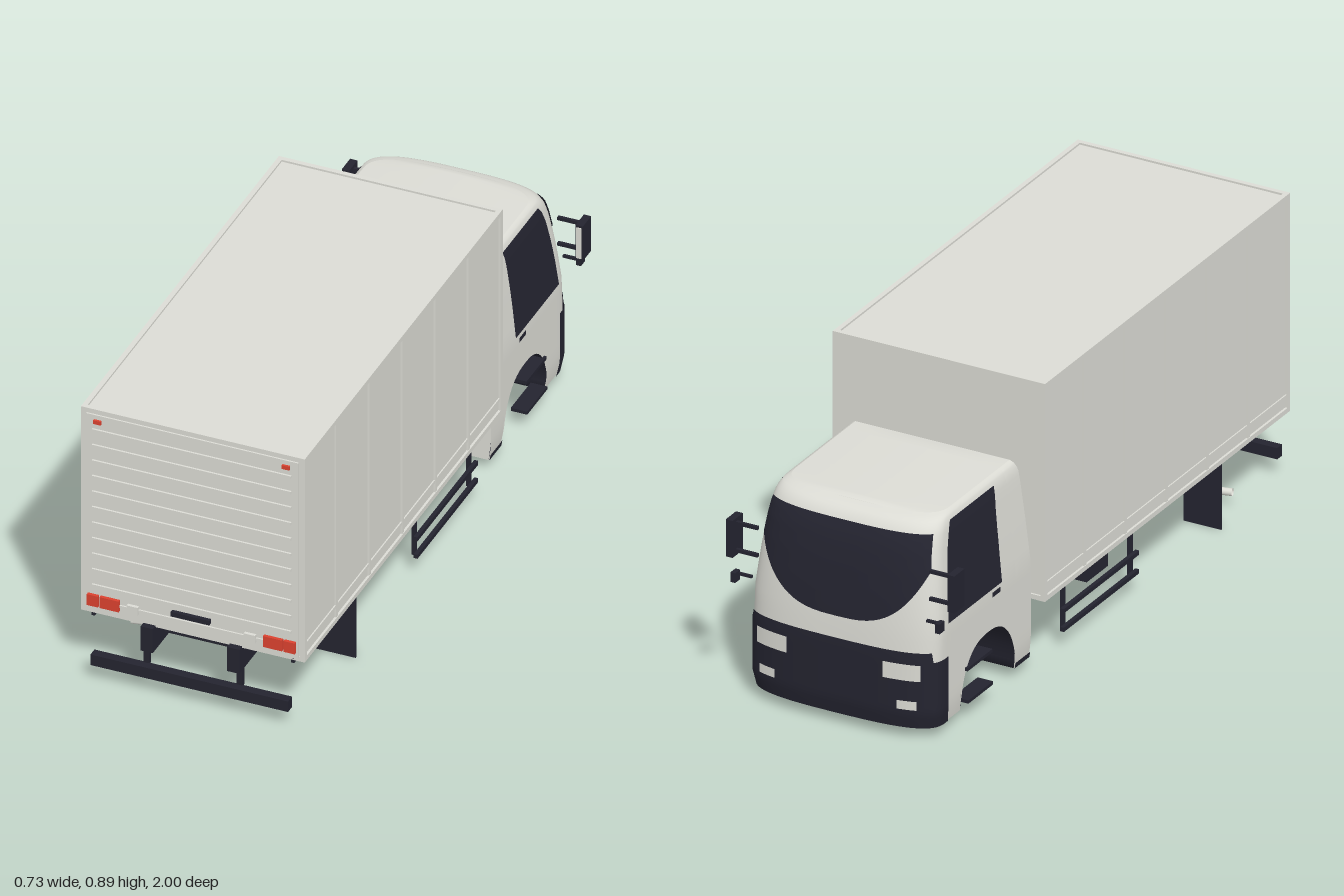
import * as THREE from 'three';

const mat = (name, color) => new THREE.MeshStandardMaterial({ name, color, side: THREE.DoubleSide });
const white = mat('offWhite', 0xdcdcd5);
const dark = mat('darkTrim', 0x242430);
const red = mat('redLens', 0xdc4230);

// piecewise-linear lookup through [key, value] pairs
const lookup = (pts) => (k) => {
  for (let i = 1; i < pts.length; i++) {
    const [a, va] = pts[i - 1], [b, vb] = pts[i];
    if (k <= b) return va + (vb - va) * Math.max(0, (k - a) / (b - a));
  }
  return pts[pts.length - 1][1];
};

// surface from a rule fn(i, j) -> [x, y, z]
function grid(nu, nv, fn) {
  const pos = [], idx = [];
  for (let i = 0; i <= nu; i++) for (let j = 0; j <= nv; j++) pos.push(...fn(i, j));
  for (let i = 0; i < nu; i++) for (let j = 0; j < nv; j++) {
    const a = i * (nv + 1) + j, b = a + nv + 1;
    idx.push(a, b, b + 1, a, b + 1, a + 1);
  }
  const g = new THREE.BufferGeometry();
  g.setAttribute('position', new THREE.Float32BufferAttribute(pos, 3));
  g.setIndex(idx);
  g.computeVertexNormals();
  return g;
}

// cab plan: half width, front and back by height
const halfWidth = lookup([[0.03, 0.292], [0.08, 0.3], [0.34, 0.3], [0.46, 0.288], [0.59, 0.273], [0.62, 0.268], [0.638, 0.259], [0.645, 0.247]]);
const frontZ = lookup([[0.03, -0.985], [0.08, -0.995], [0.25, -0.995], [0.34, -0.988], [0.42, -0.979], [0.5, -0.966], [0.56, -0.952], [0.6, -0.937], [0.625, -0.92], [0.638, -0.9], [0.645, -0.875]]);
const backZ = lookup([[0.03, -0.42], [0.3, -0.42], [0.62, -0.436], [0.645, -0.446]]);
const archZ = -0.66, archHalf = 0.155, floorY = 0.033, topY = 0.645;

// u: 0..1 side, 1..2 corner to front centre, 2..4 mirrored; o pushes outward
function cabPoint(u, y, o = 0) {
  if (u > 2) { const [x, yy, z] = cabPoint(4 - u, y, o); return [-x, yy, z]; }
  const w = halfWidth(y) + o, f = frontZ(y) - o, b = backZ(y);
  if (u <= 1) return [w, y, b + (f + 0.1 - b) * u];
  const a = Math.min(1, u - 1) * Math.PI / 2;
  return [w * Math.pow(Math.max(0, Math.cos(a)), 2 / 3), y, f + 0.1 - 0.1 * Math.pow(Math.sin(a), 2 / 3)];
}
const sideU = (z, y = 0.2) => (z - backZ(y)) / (frontZ(y) + 0.1 - backZ(y));
function bottomAt(u) {
  const z = cabPoint(u, 0.2)[2], d = Math.abs(z - archZ) / archHalf;
  return d < 1 ? floorY + 0.182 * Math.sqrt(1 - Math.pow(d, 2.5)) : floorY;
}

export function createModel() {
  const model = new THREE.Group();
  const add = (name, geo, m, parent = model) => {
    const mesh = new THREE.Mesh(geo, m);
    mesh.name = name;
    parent.add(mesh);
    return mesh;
  };
  const group = (name) => { const g = new THREE.Group(); g.name = name; model.add(g); return g; };
  // box given by its extents
  const box = (name, m, x0, x1, y0, y1, z0, z1, parent) => {
    const mesh = add(name, new THREE.BoxGeometry(Math.abs(x1 - x0), y1 - y0, Math.abs(z1 - z0)), m, parent);
    mesh.position.set((x0 + x1) / 2, (y0 + y1) / 2, (z0 + z1) / 2);
    return mesh;
  };
  const pair = (name, m, x0, x1, ...rest) => [1, -1].forEach((s) => box(name, m, s * x0, s * x1, ...rest));

  // ---- cab shell
  const cab = group('cab');
  const half = [0, 0.05, 0.11];
  for (let i = 0; i <= 24; i++) half.push(sideU(archZ + archHalf * 1.0001 * Math.cos(Math.PI * i / 24)));
  half.push(0.9, 0.95);
  for (let i = 0; i <= 18; i++) half.push(1 + i / 18);
  const us = [...half, ...half.slice(0, -1).reverse().map((u) => 4 - u)];
  const upper = [0.24, 0.3, 0.34, 0.38, 0.42, 0.46, 0.5, 0.53, 0.56, 0.58, 0.6, 0.6125, 0.625, 0.632, 0.638, 0.642, topY];
  const low = 6, rows = low + upper.length - 1;
  add('cabShell', grid(us.length - 1, rows, (i, j) => {
    const b = bottomAt(us[i]);
    return cabPoint(us[i], j < low ? b + (0.24 - b) * j / low : upper[j - low]);
  }), white, cab);
  add('cabRoof', grid(half.length - 1, 10, (i, j) => {
    const [x, y, z] = cabPoint(half[i], topY), v = 1 - j / 5;
    return [x * v, y + 0.006 * (1 - v * v) * Math.min(1, half[i] * 8, (2 - half[i]) * 2), z];
  }), white, cab);
  add('cabFloor', grid(half.length - 1, 2, (i, j) => {
    const [x, y, z] = cabPoint(half[i], bottomAt(half[i]));
    return [x * (j - 1), y, z];
  }), dark, cab);
  const backRows = [floorY, 0.1, ...upper];
  add('cabBackWall', grid(2, backRows.length - 1, (i, j) => {
    const [x, y, z] = cabPoint(0, backRows[j]);
    return [x * (i - 1), y, z];
  }), white, cab);

  // ---- painted plates that follow the cab surface
  const patch = (name, m, u0, u1, y0, y1, o = 0.004, nu = 36, nv = 14) => {
    const at = (f, u) => (typeof f === 'function' ? f(u) : f);
    add(name, grid(nu, nv, (i, j) => {
      const u = u0 + (u1 - u0) * i / nu, lo = at(y0, u), hi = at(y1, u);
      return cabPoint(u, lo + (hi - lo) * j / nv, o);
    }), m, cab);
  };
  const mirrored = (name, m, u0, u1, ...rest) => {
    patch(name, m, u0, u1, ...rest);
    patch(name, m, 4 - u1, 4 - u0, ...rest);
  };
  const frontX = (x) => 1 + Math.acos(Math.pow(x / 0.3, 1.5)) / (Math.PI / 2);
  patch('windshield', dark, 1.28, 2.72, (u) => 0.335 + 0.13 * Math.pow(Math.abs(cabPoint(u, 0.4)[0]) / 0.25, 3), 0.608);
  patch('frontBumper', dark, 0.985, 3.015, floorY, (u) => (Math.abs(u - 2) < 0.75 ? 0.27 : 0.24), 0.004, 64);
  mirrored('doorWindow', dark, sideU(-0.585, 0.45), 0.995, 0.34, 0.625, 0.003, 8);
  mirrored('doorHandle', dark, sideU(-0.6, 0.325), sideU(-0.645, 0.325), 0.318, 0.333, 0.007, 2, 2);
  mirrored('rearSkirt', dark, 0, sideU(-0.504), floorY, 0.05, 0.003, 2, 2);
  mirrored('headlight', white, frontX(0.255), frontX(0.15), 0.185, 0.235, 0.008, 8, 2);
  mirrored('foglight', white, frontX(0.245), frontX(0.19), 0.095, 0.122, 0.008, 6, 2);

  // ---- mirrors and entry steps
  pair('mirrorHousing', dark, 0.344, 0.366, 0.42, 0.535, -0.968, -0.91, cab);
  pair('mirrorGlass', white, 0.347, 0.362, 0.427, 0.528, -0.91, -0.907, cab);
  for (const y of [0.43, 0.515]) pair('mirrorArm', dark, 0.275, 0.35, y, y + 0.01, -0.95, -0.94, cab);
  pair('frontMirror', dark, 0.32, 0.335, 0.36, 0.39, -0.996, -0.968, cab);
  pair('frontMirrorArm', dark, 0.28, 0.325, 0.375, 0.383, -0.975, -0.967, cab);
  pair('lowerStep', dark, 0.26, 0.31, 0.05, 0.06, -0.79, -0.65, cab);
  pair('upperStep', dark, 0.26, 0.308, 0.15, 0.16, -0.79, -0.65, cab);

  // ---- cargo box with raised edge frame
  const cargo = group('cargoBox');
  const z0 = -0.41, z1 = 0.975, y0 = 0.21, y1 = 0.887, t = 0.015;
  box('cargoBody', white, -0.333, 0.333, y0 + 0.004, y1 - 0.006, z0 + 0.006, z1 - 0.002, cargo);
  for (const y of [y0, y1 - t]) {
    pair('sideRail', white, 0.34 - t, 0.34, y, y + t, z0, z1, cargo);
    for (const z of [z0, z1 - t]) box('endRail', white, -0.34, 0.34, y, y + t, z, z + t, cargo);
  }
  for (const z of [z0, z1 - t]) pair('cornerPost', white, 0.34 - t, 0.34, y0, y1, z, z + t, cargo);
  for (let i = 1; i < 6; i++) {
    const z = z0 + (z1 - z0) * i / 6;
    pair('sideRib', white, 0.33, 0.338, y0, y1 - t, z - 0.006, z + 0.006, cargo);
  }
  pair('kickRail', white, 0.33, 0.337, 0.255, 0.265, z0, z1, cargo);

  // ---- rear door, slats and lamps
  const door = group('rearDoor');
  box('doorPanel', white, -0.322, 0.322, 0.222, 0.872, 0.965, 0.98, door);
  for (let i = 0; i < 11; i++) {
    const y = 0.306 + i * 0.0517;
    box('doorSlat', white, -0.302, 0.302, y - 0.004, y + 0.004, 0.978, 0.986, door);
  }
  box('lampBar', white, -0.22, 0.22, 0.252, 0.26, 0.978, 0.985, door);
  box('doorHandleBar', dark, -0.06, 0.057, 0.27, 0.285, 0.978, 0.992, door);
  pair('outerTailLamp', red, 0.282, 0.316, 0.24, 0.276, 0.978, 0.99, door);
  pair('innerTailLamp', red, 0.219, 0.277, 0.24, 0.276, 0.978, 0.99, door);
  pair('reverseLamp', white, 0.161, 0.195, 0.244, 0.27, 0.978, 0.99, door);
  pair('markerLamp', red, 0.275, 0.298, 0.846, 0.858, 0.978, 0.987, door);
  pair('doorStop', dark, 0.298, 0.308, 0.2, 0.222, 0.96, 0.975, door);

  // ---- chassis
  const chassis = group('chassis');
  pair('frameRail', dark, 0.113, 0.15, 0.135, 0.215, -0.42, 0.995, chassis);
  for (const z of [0.88, 0.5, 0.12, -0.26]) box('crossMember', dark, -0.12, 0.12, 0.155, 0.2, z - 0.03, z + 0.03, chassis);
  pair('bumperBracket', dark, 0.133, 0.15, 0.08, 0.2, 0.96, 0.976, chassis);
  box('rearBumper', dark, -0.3, 0.3, 0.05, 0.085, 0.972, 1.0, chassis);
  pair('mudFlap', dark, 0.212, 0.333, 0, 0.208, 0.597, 0.603, chassis);
  box('batteryBox', dark, -0.275, -0.15, 0.105, 0.205, -0.06, 0.06, chassis);

  // ---- side guards
  for (const y of [0.055, 0.113]) pair('guardBar', dark, 0.312, 0.324, y, y + 0.013, -0.275, 0.15, chassis);
  for (const z of [0.13, -0.25]) pair('guardPost', dark, 0.3, 0.312, 0.055, 0.212, z - 0.006, z + 0.006, chassis);

  // ---- fuel tank and exhaust
  const tank = add('fuelTank', new THREE.CylinderGeometry(0.058, 0.058, 0.21, 32).rotateX(Math.PI / 2), white, chassis);
  tank.position.set(0.21, 0.148, 0.015);
  const pipe = new THREE.LineCurve3(new THREE.Vector3(-0.17, 0.046, 0.71), new THREE.Vector3(-0.29, 0.046, 0.738));
  add('exhaustPipe', new THREE.TubeGeometry(pipe, 1, 0.011, 14), white, chassis);
  return model;
}
